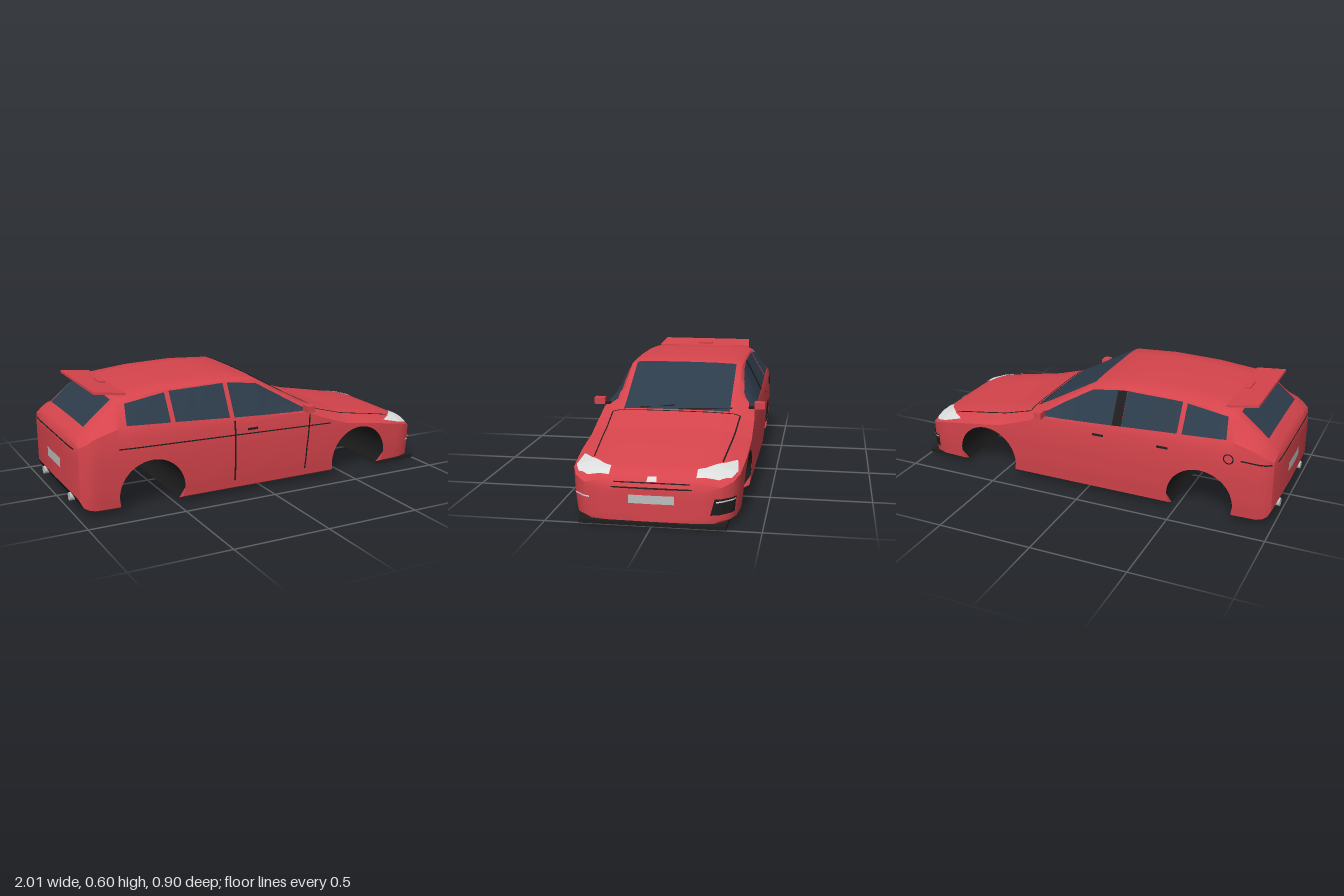
import * as THREE from 'three';
import { toCreasedNormals } from 'three/addons/utils/BufferGeometryUtils.js';

const mat = (name, color, side = THREE.DoubleSide) =>
  Object.assign(new THREE.MeshStandardMaterial({ color, side }), { name });

const lerpTable = (table, x, k) => {
  if (x <= table[0][0]) return table[0][k];
  for (let i = 1; i < table.length; i++) {
    const a = table[i - 1], b = table[i];
    if (x <= b[0]) return a[k] + (b[k] - a[k]) * (x - a[0]) / (b[0] - a[0]);
  }
  return table[table.length - 1][k];
};

// x, centre height, roof/hood edge height, shoulder height, edge half-width, width scale
const PROFILE = [
  [-0.995, 0.33, 0.325, 0.31, 0.25, 0.80], [-0.985, 0.37, 0.365, 0.35, 0.28, 0.88],
  [-0.95, 0.405, 0.398, 0.37, 0.30, 0.955], [-0.92, 0.43, 0.42, 0.39, 0.295, 0.975],
  [-0.78, 0.55, 0.535, 0.43, 0.295, 0.99], [-0.72, 0.569, 0.548, 0.43, 0.30, 1],
  [-0.5, 0.591, 0.57, 0.42, 0.30, 1], [-0.25, 0.598, 0.574, 0.407, 0.303, 1],
  [-0.02, 0.581, 0.565, 0.394, 0.303, 1], [0.25, 0.428, 0.412, 0.38, 0.308, 1],
  [0.33, 0.386, 0.372, 0.345, 0.33, 1], [0.5, 0.335, 0.318, 0.288, 0.34, 1],
  [0.7, 0.298, 0.282, 0.26, 0.335, 0.99], [0.88, 0.263, 0.251, 0.23, 0.32, 0.96],
  [0.94, 0.246, 0.236, 0.21, 0.29, 0.90], [0.98, 0.215, 0.206, 0.19, 0.25, 0.78],
  [0.995, 0.18, 0.172, 0.16, 0.19, 0.58],
];
const SIDE = [[0.015, 0.35], [0.035, 0.39], [0.12, 0.4], [0.25, 0.405], [0.34, 0.402], [0.39, 0.394], [0.43, 0.386]];
const BOTTOM = [[-0.995, 0.1], [-0.97, 0.05], [-0.9, 0.02], [-0.85, 0.015], [0.9, 0.015], [0.995, 0.022]];
const LEVELS = [0.015, 0.035, 0.06, 0.085, 0.13, 0.18, 0.23, 0.27, 0.32, 0.37, 0.5];
const R = 0.172, CY = 0.085, ARCHES = [-0.628, 0.585];

const halfWidth = (x, y) => lerpTable(SIDE, y, 1) * lerpTable(PROFILE, x, 5);

// One body cross-section from the +z sill over the top to the -z sill
function section(x, bottom, archX) {
  const [t, r, d, e] = [1, 2, 3, 4].map(k => lerpTable(PROFILE, x, k));
  const half = LEVELS.map(level => {
    const y = Math.min(Math.max(level, bottom), d);
    const px = archX !== undefined && y < CY
      ? archX + Math.sign(x - archX) * Math.sqrt(R * R - (y - CY) ** 2) : x;
    return [px, y, halfWidth(x, y)];
  });
  half.push([x, r, e], [x, r + 0.65 * (t - r), e * 0.9], [x, r + 0.93 * (t - r), e * 0.55]);
  return [...half, [x, t, 0], ...half.map(([a, b, c]) => [a, b, -c]).reverse()];
}

// Skin between successive rows of points
function loft(rows) {
  const pos = [], v = p => new THREE.Vector3(...p);
  const tri = (a, b, c) => {
    if (v(b).sub(v(a)).cross(v(c).sub(v(a))).length() > 1e-9) pos.push(...a, ...b, ...c);
  };
  for (let i = 0; i + 1 < rows.length; i++) for (let j = 0; j + 1 < rows[i].length; j++) {
    const a = rows[i][j], b = rows[i + 1][j], c = rows[i + 1][j + 1], d = rows[i][j + 1];
    tri(a, b, c); tri(a, c, d);
  }
  const g = new THREE.BufferGeometry();
  g.setAttribute('position', new THREE.Float32BufferAttribute(pos, 3));
  return toCreasedNormals(g, 0.55);
}

export function createModel() {
  const model = new THREE.Group();
  const red = mat('body red', 0xd6444c), black = mat('black trim', 0x1e1e1e);
  const glass = mat('tinted glass', 0x2d3c4b), lamp = mat('lamp white', 0xdcdedd), grey = mat('plate grey', 0xbcbfbe);
  const add = (name, geo, material, x = 0, y = 0, z = 0) => {
    const m = new THREE.Mesh(geo, material);
    m.name = name; m.position.set(x, y, z); model.add(m);
    return m;
  };

  // Body shell and underside, with both wheel tunnels cut across
  const rows = [], floor = [];
  const plain = (xs, archX) => xs.forEach(x => {
    const edge = ARCHES.find(c => Math.abs(Math.abs(x - c) - R) < 1e-6);
    const s = section(x, lerpTable(BOTTOM, x, 1), edge);
    rows.push(s); floor.push([s[0], s[s.length - 1]]);
  });
  const arch = cx => {
    const n = 24, low = Math.asin((CY - 0.015) / R);
    for (let i = 0; i <= n; i++) {
      const a = Math.PI * (1 - i / n);
      rows.push(section(cx + R * Math.cos(a), CY + R * Math.sin(a)));
      const f = Math.PI + low - (Math.PI + 2 * low) * i / n;
      const x = cx + R * Math.cos(f), y = CY + R * Math.sin(f), z = halfWidth(x, y) - 0.001;
      floor.push([[x, y, z], [x, y, -z]]);
    }
  };
  const [ra, fa] = ARCHES;
  const collapse = (s, x) => s.map(p => [x, p[1], 0]);
  plain([-0.995, -0.985, -0.97, -0.95, -0.92, -0.88, -0.84, ra - R]);
  rows.unshift(collapse(rows[0], -1));
  arch(ra);
  plain([ra + R, -0.38, -0.25, -0.13, -0.02, 0.07, 0.16, 0.25, 0.29, 0.33, 0.37, fa - R]);
  arch(fa);
  plain([fa + R, 0.8, 0.84, 0.88, 0.91, 0.94, 0.96, 0.98, 0.995]);
  rows.push(collapse(rows[rows.length - 1], 0.999));
  const body = add('bodyShell', loft(rows), red);
  add('underbody', loft(floor), black);

  // Thin panels laid onto the body: 2D outlines are projected along an axis
  const AXES = {
    left: (a, b) => [[a, b, 2], [0, 0, -1]], right: (a, b) => [[a, b, -2], [0, 0, 1]],
    top: (a, b) => [[a, 2, b], [0, -1, 0]],
    front: (a, b) => [[2, b, a], [-1, 0, 0]], rear: (a, b) => [[-2, b, a], [1, 0, 0]],
  };
  const ray = new THREE.Raycaster();
  const project = (axis, a, b, lift) => {
    const [o, dir] = AXES[axis](a + 1.3e-5, b + 1.7e-5);
    ray.set(new THREE.Vector3(...o), new THREE.Vector3(...dir));
    const hit = ray.intersectObject(body)[0];
    if (!hit) return null;
    const n = hit.face.normal.clone();
    if (n.dot(ray.ray.direction) > 0) n.negate();
    return hit.point.addScaledVector(n, lift).toArray();
  };
  const along = (line, t) => {
    const s = t * (line.length - 1), i = Math.min(Math.floor(s), line.length - 2), f = s - i;
    return line[i].map((v, k) => v + (line[i + 1][k] - v) * f);
  };
  const panel = (name, material, axis, low, high, n = 12, m = 4, lift = 0.004) => {
    const grid = [];
    for (let i = 0; i <= n; i++) {
      const a = along(low, i / n), b = along(high, i / n), row = [];
      for (let j = 0; j <= m; j++) {
        const p = along([a, b], j / m), q = project(axis, p[0], p[1], lift);
        if (q) row.push(q);
      }
      if (row.length === m + 1) grid.push(row);
    }
    if (grid.length > 1) add(name, loft(grid), material);
  };
  const seam = (name, axis, pts, width = 0.007, material = black, n = 20) => {
    const a = pts[0], b = pts[pts.length - 1], len = Math.hypot(b[0] - a[0], b[1] - a[1]);
    const ox = -(b[1] - a[1]) / len * width / 2, oy = (b[0] - a[0]) / len * width / 2;
    panel(name, material, axis, pts.map(p => [p[0] - ox, p[1] - oy]), pts.map(p => [p[0] + ox, p[1] + oy]), n, 1, 0.004);
  };

  // Side glass, mirrors and headlights on both sides
  for (const [side, s] of [['left', 1], ['right', -1]]) {
    panel(side + 'QuarterWindow', glass, side, [[-0.75, 0.435], [-0.525, 0.424]], [[-0.735, 0.527], [-0.525, 0.557]]);
    panel(side + 'RearWindow', glass, side, [[-0.5, 0.423], [-0.205, 0.407]], [[-0.5, 0.561], [-0.205, 0.568]]);
    panel(side + 'FrontWindow', glass, side, [[-0.18, 0.405], [-0.02, 0.397], [0.245, 0.383]],
      [[-0.18, 0.567], [-0.02, 0.548], [0.245, 0.394]], 16);
    add(side + 'Mirror', new THREE.BoxGeometry(0.04, 0.035, 0.055), red, 0.24, 0.408, s * 0.422);
    add(side + 'MirrorArm', new THREE.BoxGeometry(0.02, 0.012, 0.04), black, 0.24, 0.395, s * 0.385);
    panel(side + 'Headlight', lamp, 'top',
      [[0.77, 0.365], [0.87, 0.377], [0.925, 0.352], [0.955, 0.3], [0.965, 0.2]].map(p => [p[0], s * p[1]]),
      [[0.77, 0.36], [0.83, 0.315], [0.87, 0.27], [0.9, 0.235], [0.915, 0.2]].map(p => [p[0], s * p[1]]), 20, 5);
    seam(side + 'BumperLamp', 'front', [[s * 0.29, 0.125], [s * 0.37, 0.13]], 0.007, lamp);
    seam(side + 'HoodSeam', 'top', [[0.34, s * 0.33], [0.6, s * 0.318], [0.83, s * 0.302]]);
    const pipe = add(side + 'Exhaust', new THREE.CylinderGeometry(0.021, 0.021, 0.07, 20), grey, -0.965, 0.07, s * 0.22);
    pipe.rotation.z = Math.PI / 2;
  }

  // Windscreen, rear glass, wipers
  panel('windscreen', glass, 'top', [[-0.015, -0.272], [-0.015, 0.272]], [[0.325, -0.275], [0.325, 0.275]], 20, 16);
  panel('rearGlass', glass, 'top', [[-0.925, -0.262], [-0.925, 0.262]], [[-0.785, -0.262], [-0.785, 0.262]], 16, 10);
  seam('leftWiper', 'front', [[0.275, 0.386], [0, 0.404]], 0.005);
  seam('rightWiper', 'front', [[-0.01, 0.39], [-0.285, 0.398]], 0.005);
  seam('hoodRearSeam', 'top', [[0.34, -0.33], [0.34, 0.33]]);

  // Left side seams and handle
  seam('leftWaistSeam', 'left', [[-0.8, 0.33], [-0.2, 0.318], [0.39, 0.305]], 0.006, black, 40);
  seam('leftDoorSeam', 'left', [[-0.18, 0.075], [-0.18, 0.39]], 0.009);
  seam('leftFenderSeam', 'left', [[0.238, 0.075], [0.245, 0.2], [0.262, 0.37]], 0.008);
  seam('leftHandle', 'left', [[-0.11, 0.338], [-0.05, 0.338]], 0.012);

  // Right side pillar, handles and filler cap
  panel('rightCentrePillar', black, 'right', [[-0.205, 0.407], [-0.155, 0.404]], [[-0.205, 0.568], [-0.155, 0.564]], 4, 3, 0.006);
  for (const x of [-0.08, -0.43]) seam('rightHandle', 'right', [[x - 0.03, 0.342], [x + 0.03, 0.342]], 0.012);
  add('fillerCapRing', new THREE.TorusGeometry(0.024, 0.003, 6, 24), black, -0.77, 0.345, -0.4);
  seam('rightTailSeam', 'right', [[-0.83, 0.345], [-0.975, 0.338]], 0.007);

  // Nose details
  seam('upperGrilleSlot', 'front', [[0.175, 0.2], [-0.175, 0.2]], 0.005);
  seam('lowerGrilleSlot', 'front', [[0.185, 0.178], [-0.185, 0.178]], 0.005);
  panel('frontPlate', grey, 'front', [[0.105, 0.107], [-0.105, 0.107]], [[0.105, 0.147], [-0.105, 0.147]], 10, 3);
  panel('hoodLatch', lamp, 'front', [[0.024, 0.205], [-0.024, 0.205]], [[0.02, 0.224], [-0.02, 0.224]], 4, 3);
  panel('rightAirDuct', black, 'front', [[-0.265, 0.063], [-0.365, 0.068]], [[-0.285, 0.14], [-0.372, 0.14]], 12, 4, 0.003);
  add('splitter', new THREE.BoxGeometry(0.24, 0.018, 0.68), black, 0.88, 0.009, 0);

  // Tail details
  panel('rearPlate', grey, 'rear', [[0.105, 0.185], [-0.105, 0.185]], [[0.105, 0.235], [-0.105, 0.235]], 10, 3);
  seam('tailgateSeam', 'rear', [[0.31, 0.335], [-0.31, 0.335]], 0.007);

  // Roof spoiler with its small lamp housing
  const wing = new THREE.Shape([[-0.87, -0.262], [-0.87, 0.262], [-0.71, 0.275], [-0.71, -0.275]].map(p => new THREE.Vector2(...p)));
  const wingGeo = new THREE.ExtrudeGeometry(wing, { depth: 0.012, bevelEnabled: false });
  wingGeo.rotateX(-Math.PI / 2).translate(0.71, 0, 0).rotateZ(-0.12);
  add('roofSpoiler', wingGeo, red, -0.71, 0.557, 0);
  add('highLampHousing', new THREE.BoxGeometry(0.032, 0.014, 0.09), red, -0.748, 0.576, 0);
  return model;
}
